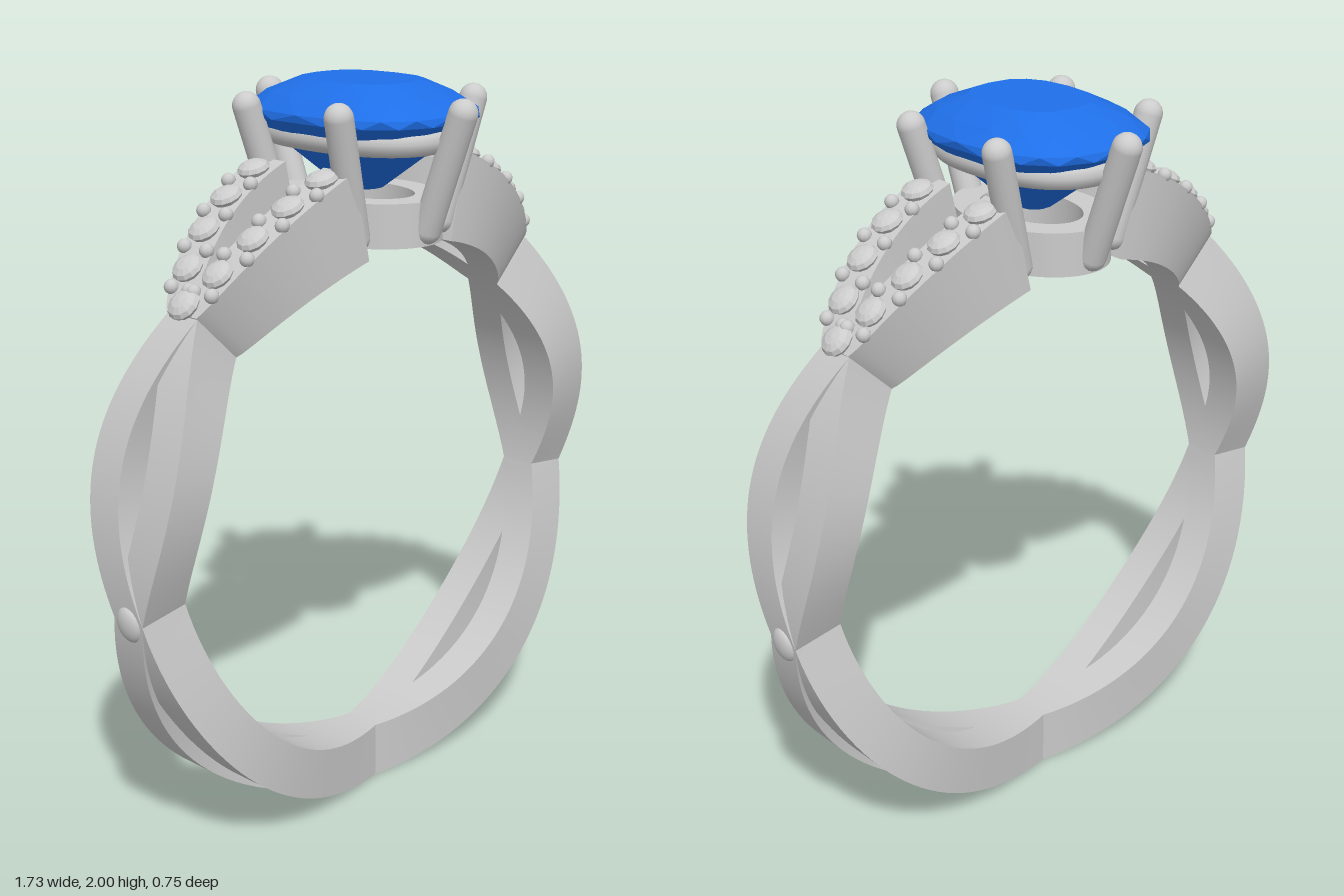
import * as THREE from 'three';

const CY = 0.875, R_IN = 0.715, DEG = Math.PI / 180;
const metal = new THREE.MeshStandardMaterial({ color: 0xcccccc });
const facetMetal = new THREE.MeshStandardMaterial({ color: 0xcccccc, flatShading: true });
const blue = new THREE.MeshStandardMaterial({ color: 0x1f6fe8, flatShading: true });

// point on the ring: phi in degrees from the bottom, counted up the +x side
const onRing = (phi, r, z) =>
  new THREE.Vector3(r * Math.sin(phi * DEG), CY - r * Math.cos(phi * DEG), z);

function add(parent, name, geometry, material = metal) {
  const mesh = new THREE.Mesh(geometry, material);
  mesh.name = name;
  parent.add(mesh);
  return mesh;
}

// rectangular band swept around the ring with sharp edges
function bandGeometry(phi0, phi1, zAt, rOutAt, halfW, steps = 32) {
  const pos = [], idx = [];
  const section = (phi) => {
    const z = zAt(phi), r = rOutAt(phi);
    return [[r, z - halfW], [r, z + halfW], [R_IN, z + halfW], [R_IN, z - halfW]]
      .map(([rr, zz]) => onRing(phi, rr, zz).toArray());
  };
  for (let k = 0; k < 4; k++) {
    const base = pos.length / 3;
    for (let i = 0; i <= steps; i++) {
      const s = section(phi0 + (phi1 - phi0) * i / steps);
      pos.push(...s[k], ...s[(k + 1) % 4]);
      if (i < steps) {
        const a = base + i * 2;
        idx.push(a, a + 2, a + 1, a + 1, a + 2, a + 3);
      }
    }
  }
  for (const [phi, flip] of [[phi0, false], [phi1, true]]) {
    const b = pos.length / 3;
    section(phi).forEach((p) => pos.push(...p));
    idx.push(...(flip ? [b, b + 2, b + 1, b, b + 3, b + 2] : [b, b + 1, b + 2, b, b + 2, b + 3]));
  }
  const g = new THREE.BufferGeometry();
  g.setAttribute('position', new THREE.Float32BufferAttribute(pos, 3));
  g.setIndex(idx);
  g.computeVertexNormals();
  return g;
}

// cushion outline shared by the gem and its rail
function cushion(a, rx, rz, power = 2.6) {
  const f = (v) => Math.sign(v) * Math.pow(Math.abs(v), 2 / power);
  return [rx * f(Math.cos(a)), rz * f(Math.sin(a))];
}

// staggered rings make triangular facets
function gemGeometry(rings, n) {
  const pos = [];
  const pt = (i, j) => {
    const [y, s] = rings[i];
    const [x, z] = cushion((j + i / 2) / n * Math.PI * 2, 0.245 * s, 0.305 * s);
    return [x, y, z];
  };
  const last = rings.length - 1;
  for (let j = 0; j < n; j++) {
    pos.push(0, rings[0][0], 0, ...pt(0, j + 1), ...pt(0, j));
    for (let i = 0; i < last; i++) {
      pos.push(...pt(i, j), ...pt(i, j + 1), ...pt(i + 1, j));
      pos.push(...pt(i, j + 1), ...pt(i + 1, j + 1), ...pt(i + 1, j));
    }
    pos.push(0, rings[last][0], 0, ...pt(last, j), ...pt(last, j + 1));
  }
  const g = new THREE.BufferGeometry();
  g.setAttribute('position', new THREE.Float32BufferAttribute(pos, 3));
  g.computeVertexNormals();
  return g;
}

// round-ended rod between two points
function rod(parent, name, a, b, r) {
  const d = b.clone().sub(a);
  const m = add(parent, name, new THREE.CapsuleGeometry(r, d.length(), 8, 16));
  m.position.copy(a).add(b).multiplyScalar(0.5);
  m.quaternion.setFromUnitVectors(new THREE.Vector3(0, 1, 0), d.normalize());
}

const shoulderZ = (phi) =>
  0.12 * Math.pow(Math.sin(Math.min(1, Math.max(0, (phi - 134) / 32)) * Math.PI / 2), 0.8);
const shoulderR = (phi) => 0.892 + 0.058 * (phi - 134) / 32;

function buildSide() {
  const side = new THREE.Group();
  const bandR = (phi) => phi < 82
    ? 0.875 - 0.018 * Math.pow(phi / 82, 2)
    : 0.857 + 0.03 * Math.pow((phi - 82) / 52, 2);

  // interlaced strands; the back one is a little shallower
  for (const s of [1, -1]) {
    for (const [p0, p1, label] of [[0, 82, 'lowerStrand'], [82, 134, 'upperStrand']]) {
      const wave = (phi) => Math.sin(Math.PI * (phi - p0) / (p1 - p0));
      add(side, label, bandGeometry(p0, p1, (phi) => s * 0.083 * wave(phi),
        (phi) => bandR(phi) - (s < 0 ? 0.025 * wave(phi) : 0), 0.053));
    }

    // split shoulder with a row of stones and gripping beads
    add(side, 'shoulder', bandGeometry(134, 167, (phi) => s * shoulderZ(phi), shoulderR, 0.053));
    for (let i = 0; i < 4; i++) {
      const phi = 141.5 + i * 7.2;
      addStone(side, phi, s * shoulderZ(phi), 0.043);
      for (const e of [-1, 1]) {
        const bp = phi - 3.6;
        const bead = add(side, 'stoneBead', new THREE.SphereGeometry(0.019, 10, 8));
        bead.position.copy(onRing(bp, shoulderR(bp) + 0.006, s * shoulderZ(bp) + e * 0.04));
      }
    }
  }
  addStone(side, 135.5, 0, 0.045);

  // stud through the crossing
  const stud = new THREE.Group();
  stud.name = 'crossingStud';
  const dome = add(stud, 'studDome', new THREE.SphereGeometry(0.05, 20, 14));
  dome.scale.set(1, 0.45, 0.85);
  stud.position.copy(onRing(81.5, 0.852, 0));
  stud.rotation.z = (81.5 - 180) * DEG;
  side.add(stud);
  return side;
}

function addStone(parent, phi, z, r) {
  const stone = add(parent, 'accentStone', new THREE.SphereGeometry(r, 12, 6), facetMetal);
  stone.scale.y = 0.5;
  stone.position.copy(onRing(phi, shoulderR(phi) + 0.008, z));
  stone.rotation.z = (phi - 180) * DEG;
}

function buildHead() {
  const head = new THREE.Group();
  head.name = 'head';

  // oval base collar
  const oval = new THREE.Shape().absellipse(0, 0, 0.175, 0.235, 0, Math.PI * 2);
  oval.holes.push(new THREE.Path().absellipse(0, 0, 0.105, 0.16, 0, Math.PI * 2, true));
  const collar = add(head, 'baseCollar',
    new THREE.ExtrudeGeometry(oval, { depth: 0.115, bevelEnabled: false, curveSegments: 40 }));
  collar.rotation.x = -Math.PI / 2;
  collar.position.y = 1.595;

  // rail under the girdle
  const pts = Array.from({ length: 40 }, (_, i) => {
    const [x, z] = cushion(i / 40 * Math.PI * 2, 0.178, 0.255, 2.4);
    return new THREE.Vector3(x, 1.865, z);
  });
  add(head, 'rail', new THREE.TubeGeometry(
    new THREE.CatmullRomCurve3(pts, true), 80, 0.035, 12, true));

  // six leaning prongs
  for (const sz of [-1, 1]) {
    rod(head, 'endProng', new THREE.Vector3(0, 1.635, sz * 0.225),
      new THREE.Vector3(0, 1.938, sz * 0.337), 0.038);
    for (const sx of [-1, 1]) {
      rod(head, 'cornerProng', new THREE.Vector3(sx * 0.165, 1.625, sz * 0.13),
        new THREE.Vector3(sx * 0.257, 1.938, sz * 0.16), 0.037);
    }
  }

  // faceted cushion gem
  add(head, 'gem', gemGeometry([[2.0, 0.53], [1.965, 0.82], [1.928, 1], [1.908, 1],
    [1.83, 0.66], [1.72, 0.19]], 16), blue);
  return head;
}

export function createModel() {
  const model = new THREE.Group();
  model.name = 'ring';
  const left = buildSide();
  left.name = 'leftBand';
  const right = buildSide();
  right.name = 'rightBand';
  right.rotation.y = Math.PI;
  model.add(left, right, buildHead());
  return model;
}
